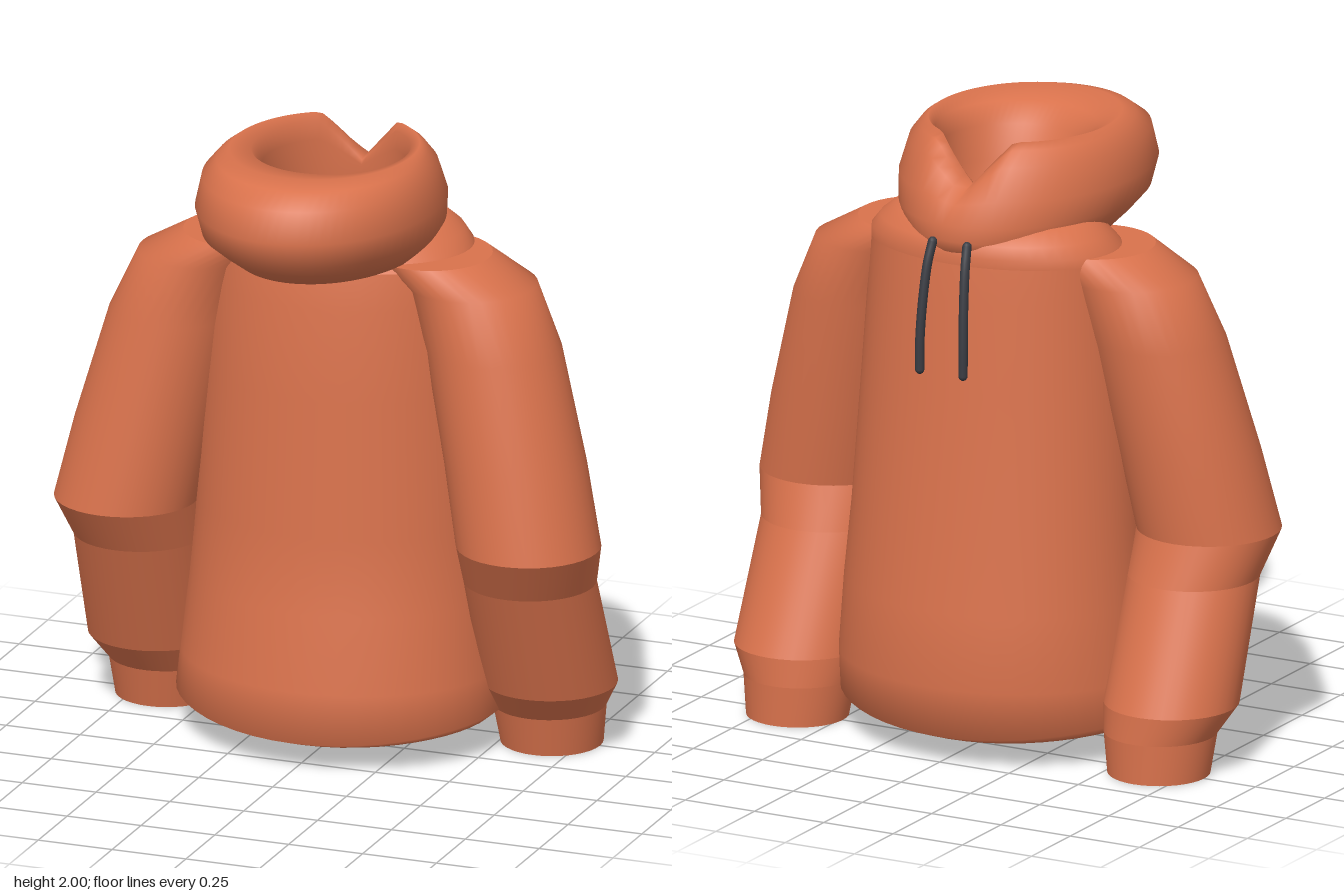
import * as THREE from 'three';

const fabric = new THREE.MeshStandardMaterial({ color: 0xd9724c });
fabric.name = 'orange fabric';
const cord = new THREE.MeshStandardMaterial({ color: 0x3a3c43 });
cord.name = 'dark cord';

// Loft through horizontal elliptical rings [y, xRadius, zMin, zMax, xCentre]; bend may move a point
function loft(name, rings, bend = (p) => p, segments = 48) {
  const pos = [], index = [];
  rings.forEach(([y, rx, z0, z1, cx = 0], i) => {
    for (let j = 0; j < segments; j++) {
      const a = (j / segments) * Math.PI * 2;
      const p = new THREE.Vector3(cx + rx * Math.cos(a), y, (z0 + z1) / 2 + ((z1 - z0) / 2) * Math.sin(a));
      bend(p);
      pos.push(p.x, p.y, p.z);
      if (i === rings.length - 1) continue;
      const k = (j + 1) % segments, lo = i * segments, hi = lo + segments;
      index.push(lo + j, hi + j, lo + k, hi + j, hi + k, lo + k);
    }
  });
  const g = new THREE.BufferGeometry();
  g.setAttribute('position', new THREE.Float32BufferAttribute(pos, 3));
  g.setIndex(index);
  g.computeVertexNormals();
  const mesh = new THREE.Mesh(g, fabric);
  mesh.name = name;
  return mesh;
}

// The hem rises towards the sides
const hemBend = (p) => {
  if (p.y < 0.2) p.y += 0.045 * (p.x / 0.53) ** 2;
  return p;
};

// V-shaped gap at the throat of the hood
const hoodNotch = (p) => {
  if (p.z < -0.15 && Math.abs(p.x) < 0.13 && p.y > 1.8) {
    p.y -= (p.y - 1.8) * 0.75 * (1 - Math.abs(p.x) / 0.13);
  }
  return p;
};

function sleeve(side) {
  const arm = new THREE.Group();
  arm.name = side > 0 ? 'leftSleeve' : 'rightSleeve';
  // [y, x centre, radius, z centre]
  const ring = ([y, cx, r, cz]) => [y, r, cz - r, cz + r, side * cx];
  const add = (name, rows) => arm.add(loft(name, rows.map(ring), undefined, 36));
  const elbow = [0.74, 0.68, 0.23, 0.025], fore = [0.6, 0.66, 0.211, -0.04];
  const wrist = [0.22, 0.667, 0.215, -0.195], band = [0.13, 0.65, 0.18, -0.235];
  const end = [0, 0.652, 0.163, -0.25], lip = [0.03, 0.652, 0.125, -0.25];
  const top = [1.645, 0.315, 0.195, -0.065];
  add('shoulderEnd', [top, [1.645, 0.315, 0, -0.065]]);
  add('upperSleeve', [elbow, [1.0, 0.625, 0.226, -0.005], [1.36, 0.535, 0.217, -0.045],
    [1.56, 0.45, 0.211, -0.065], top]);
  add('elbowFold', [fore, elbow]);
  add('forearm', [wrist, fore]);
  add('wristFold', [band, wrist]);
  add('cuff', [end, band]);
  add('cuffOpening', [[0.035, 0.652, 0, -0.25], lip, end]);
  return arm;
}

function drawstring(side) {
  const g = new THREE.Group();
  g.name = side > 0 ? 'leftDrawstring' : 'rightDrawstring';
  const path = new THREE.CatmullRomCurve3([
    [0.062, 1.69, -0.435], [0.068, 1.62, -0.458], [0.074, 1.5, -0.478],
    [0.078, 1.38, -0.488], [0.078, 1.28, -0.489],
  ].map(([x, y, z]) => new THREE.Vector3(side * x, y, z)));
  const tube = new THREE.Mesh(new THREE.TubeGeometry(path, 20, 0.015, 10), cord);
  tube.name = 'cord';
  g.add(tube);
  for (const t of [0, 1]) {
    const tip = new THREE.Mesh(new THREE.SphereGeometry(0.015, 10, 8), cord);
    tip.name = 'cordTip';
    tip.position.copy(path.getPoint(t));
    g.add(tip);
  }
  return g;
}

export function createModel() {
  const model = new THREE.Group();
  model.name = 'hoodedTop';

  // Torso, hem and closed underside
  const hem = [0.06, 0.49, -0.44, 0.25];
  model.add(loft('underside', [[0.075, 0, -0.1, -0.1], hem], hemBend));
  model.add(loft('torso', [
    hem, [0.09, 0.535, -0.52, 0.33], [0.26, 0.525, -0.557, 0.33], [0.5, 0.505, -0.532, 0.275],
    [0.75, 0.482, -0.505, 0.253], [1.2, 0.455, -0.465, 0.235], [1.5, 0.435, -0.44, 0.21], [1.62, 0.43, -0.425, 0.185],
  ], hemBend));

  // Neckline that carries the hood, with a floor inside
  model.add(loft('collar', [
    [1.62, 0.43, -0.425, 0.185], [1.65, 0.42, -0.425, 0.16], [1.69, 0.385, -0.415, 0.13],
    [1.735, 0.33, -0.37, 0.1], [1.74, 0.28, -0.31, 0.1], [1.64, 0.25, -0.29, 0.09],
  ]));
  model.add(loft('neckFloor', [[1.635, 0.3, -0.34, 0.14], [1.635, 0, -0.1, -0.1]]));

  // Rolled hood hanging towards the rear
  model.add(loft('hood', [
    [1.645, 0.2, -0.3, 0.14], [1.645, 0.29, -0.42, 0.39], [1.695, 0.335, -0.43, 0.465],
    [1.745, 0.37, -0.428, 0.535], [1.83, 0.385, -0.405, 0.56], [1.93, 0.362, -0.355, 0.53],
    [1.975, 0.325, -0.315, 0.46], [1.995, 0.295, -0.285, 0.39], [1.97, 0.25, -0.272, 0.26],
    [1.91, 0.228, -0.27, 0.2], [1.8, 0.226, -0.272, 0.16], [1.645, 0.22, -0.28, 0.09],
  ], hoodNotch, 72));

  for (const side of [1, -1]) model.add(sleeve(side), drawstring(side));
  return model;
}
